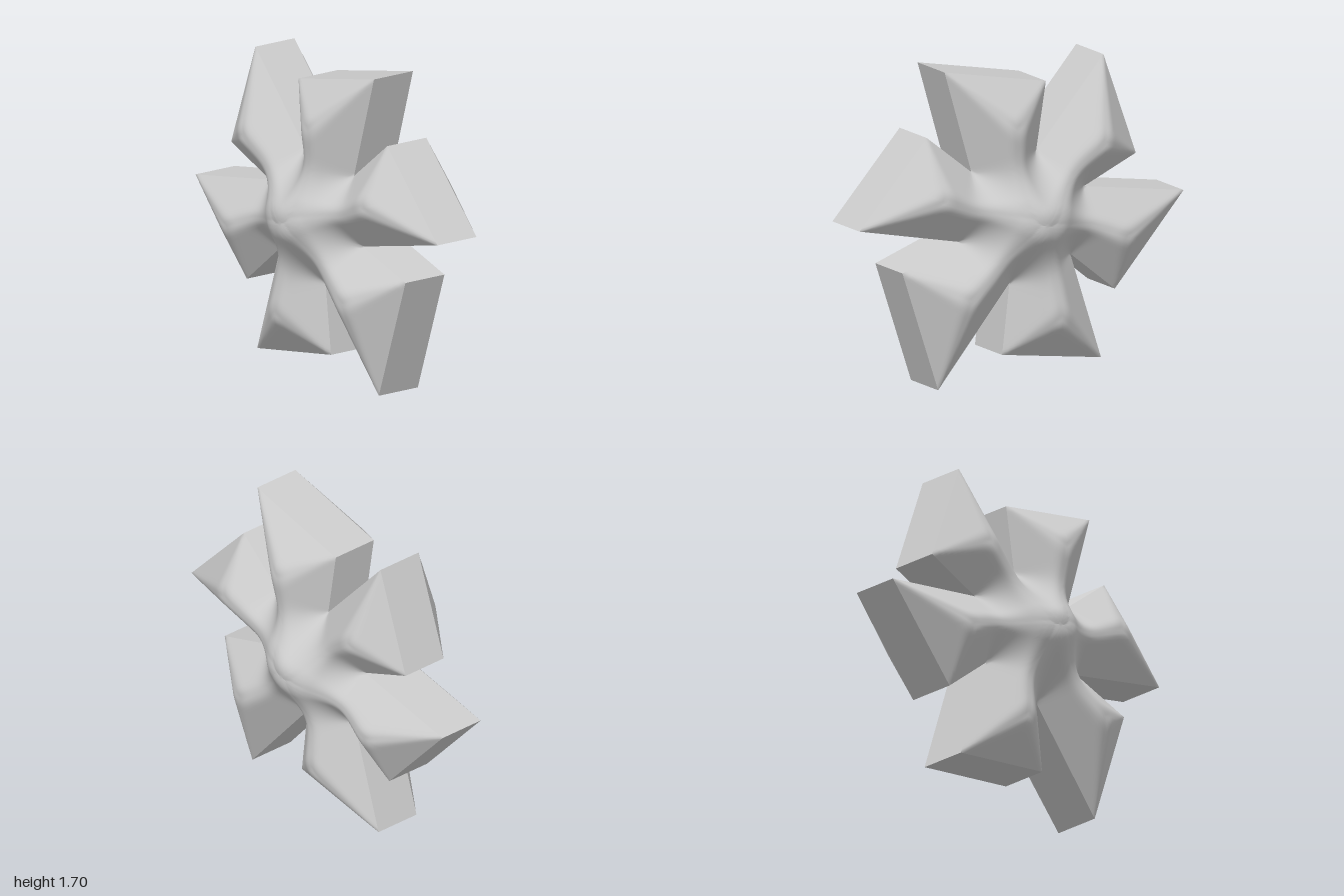
import * as THREE from 'three';
import { mergeVertices } from 'three/addons/utils/BufferGeometryUtils.js';

const HALF = 0.13; // half thickness of the straight rim
const CENTRE = [0, 0.86];

// Six flared arms, clockwise: inner notch before the arm, then its two tips
const ARMS = [
  [[-0.09, 1.2], [-0.15, 1.565], [0.475, 1.695]],
  [[0.31, 1.14], [0.585, 1.36], [1, 0.915]],
  [[0.38, 0.775], [0.735, 0.655], [0.515, 0]],
  [[0.075, 0.515], [0.12, 0.135], [-0.49, 0.04]],
  [[-0.3, 0.62], [-0.575, 0.395], [-1, 0.865]],
  [[-0.385, 0.97], [-0.705, 1.105], [-0.505, 1.66]],
];
const OUTLINE = ARMS.flat();

// Distance from a point to the nearest edge of the outline
function edgeDistance(x, y) {
  let best = Infinity;
  OUTLINE.forEach(([ax, ay], i) => {
    const [bx, by] = OUTLINE[(i + 1) % OUTLINE.length];
    const dx = bx - ax, dy = by - ay;
    const t = THREE.MathUtils.clamp(((x - ax) * dx + (y - ay) * dy) / (dx * dx + dy * dy), 0, 1);
    best = Math.min(best, Math.hypot(x - ax - t * dx, y - ay - t * dy));
  });
  return best;
}

// Pillow height: edge distance averaged over a disc that grows away from the edge
function puff(x, y) {
  const d = edgeDistance(x, y);
  if (d < 1e-6) return 0;
  const samples = 40;
  let sum = 0;
  for (let k = 0; k < samples; k++) {
    const r = 0.42 * d * Math.sqrt((k + 0.5) / samples), a = k * 2.399963;
    sum += edgeDistance(x + r * Math.cos(a), y + r * Math.sin(a));
  }
  return 0.87 * sum / samples;
}

const mix = (a, b, t) => [a[0] + (b[0] - a[0]) * t, a[1] + (b[1] - a[1]) * t];

// Adds a grid over the quad a-b (inner edge) to c-d (outer edge)
function addPatch(out, a, b, c, d, nu, nv) {
  const grid = [];
  for (let j = 0; j <= nv; j++) {
    for (let i = 0; i <= nu; i++) {
      const [x, y] = mix(mix(a, b, i / nu), mix(c, d, i / nu), j / nv);
      grid.push([x, y, HALF + puff(x, y)]);
    }
  }
  for (let j = 0; j < nv; j++) {
    for (let i = 0; i < nu; i++) {
      const p = j * (nu + 1) + i, q = p + 1, s = p + nu + 1, r = s + 1;
      // diagonals follow the creases running in from the tips
      const tris = i < nu / 2 ? [p, q, s, q, r, s] : [p, q, r, p, r, s];
      tris.forEach((k) => out.push(...grid[k]));
    }
  }
}

function puffedFace() {
  const out = [];
  ARMS.forEach(([notch, tipA, tipB], i) => {
    const next = ARMS[(i + 1) % ARMS.length][0];
    addPatch(out, CENTRE, CENTRE, notch, next, 28, 22); // hub sector
    addPatch(out, notch, next, tipA, tipB, 28, 30); // arm
  });
  return out;
}

function smoothGeometry(positions) {
  let g = new THREE.BufferGeometry();
  g.setAttribute('position', new THREE.Float32BufferAttribute(positions, 3));
  g = mergeVertices(g, 1e-5);
  g.computeVertexNormals();
  return g;
}

// Same face flipped to the back, with corner order reversed
function mirrored(positions) {
  const out = [];
  for (let i = 0; i < positions.length; i += 9) {
    for (const k of [0, 6, 3]) {
      out.push(positions[i + k], positions[i + k + 1], -positions[i + k + 2]);
    }
  }
  return out;
}

// Straight flat walls around the outline
function rimGeometry() {
  const out = [];
  OUTLINE.forEach((a, i) => {
    const b = OUTLINE[(i + 1) % OUTLINE.length];
    out.push(...a, HALF, ...b, HALF, ...b, -HALF, ...a, HALF, ...b, -HALF, ...a, -HALF);
  });
  const g = new THREE.BufferGeometry();
  g.setAttribute('position', new THREE.Float32BufferAttribute(out, 3));
  g.computeVertexNormals();
  return g;
}

export function createModel() {
  const group = new THREE.Group();
  group.name = 'puffedStar';
  const grey = new THREE.MeshStandardMaterial({ color: 0xcccccc });
  grey.name = 'light grey';
  const add = (name, geometry) => {
    const mesh = new THREE.Mesh(geometry, grey);
    mesh.name = name;
    group.add(mesh);
  };
  const face = puffedFace();
  add('frontFace', smoothGeometry(face));
  add('backFace', smoothGeometry(mirrored(face)));
  add('rim', rimGeometry());
  return group;
}
